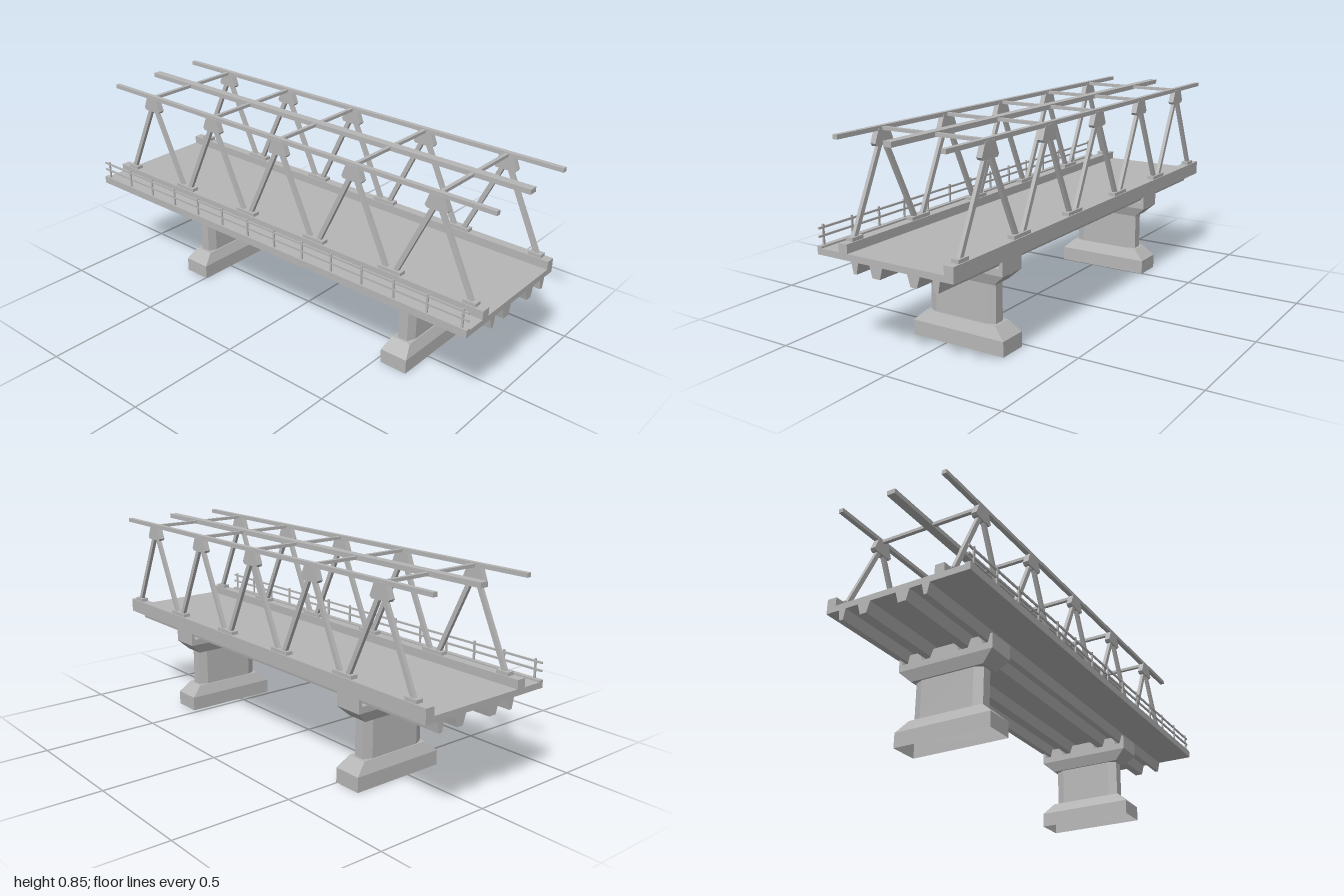
import * as THREE from 'three';

const concrete = new THREE.MeshStandardMaterial({ color: 0xb6b6b6, flatShading: true, side: THREE.DoubleSide });
const X0 = -0.997, X1 = 0.99;        // deck ends
const FRONT = 0.183, BACK = -0.288;  // truss planes
const MID = (FRONT + BACK) / 2;
const TRUSSES = [-0.754, -0.374, 0.002, 0.382, 0.762];
const PIERS = [-0.558, 0.585];
// girders: [centre z, half width at top, half width at bottom]
const GIRDERS = [[0.129, 0.017, 0.007], [0.031, 0.03, 0.017], [-0.137, 0.028, 0.014], [-0.235, 0.016, 0.008]];

function add(parent, name, geometry, x = 0, y = 0, z = 0) {
  const mesh = new THREE.Mesh(geometry, concrete);
  mesh.name = name;
  mesh.position.set(x, y, z);
  parent.add(mesh);
  return mesh;
}

function box(parent, name, x0, x1, y0, y1, z0, z1) {
  return add(parent, name, new THREE.BoxGeometry(x1 - x0, y1 - y0, z1 - z0),
    (x0 + x1) / 2, (y0 + y1) / 2, (z0 + z1) / 2);
}

// Extrude a [z, y] outline along x
function extrudeX(outline, x0, x1) {
  const shape = new THREE.Shape(outline.map(([z, y]) => new THREE.Vector2(-z, y)));
  const g = new THREE.ExtrudeGeometry(shape, { depth: x1 - x0, bevelEnabled: false });
  return g.rotateY(Math.PI / 2).translate(x0, 0, 0);
}

// Rectangle with chamfered corners, as [x, y, z] points
function ring(y, hx, hz, cx = 0, cz = 0) {
  const pts = cx
    ? [[hx, hz - cz], [hx, cz - hz], [hx - cx, -hz], [cx - hx, -hz], [-hx, cz - hz], [-hx, hz - cz], [cx - hx, hz], [hx - cx, hz]]
    : [[hx, hz], [hx, -hz], [-hx, -hz], [-hx, hz]];
  return pts.map(([x, z]) => [x, y, z]);
}

// Skin a stack of rings, optionally closing the ends
function loft(rings, capBottom, capTop) {
  const pos = [], n = rings[0].length;
  for (let r = 0; r + 1 < rings.length; r++) {
    for (let i = 0; i < n; i++) {
      const j = (i + 1) % n, a = rings[r][i], b = rings[r][j], c = rings[r + 1][j], d = rings[r + 1][i];
      pos.push(...a, ...b, ...c, ...a, ...c, ...d);
    }
  }
  const first = rings[0], last = rings[rings.length - 1];
  for (let i = 1; i + 1 < n; i++) {
    if (capBottom) pos.push(...first[0], ...first[i + 1], ...first[i]);
    if (capTop) pos.push(...last[0], ...last[i], ...last[i + 1]);
  }
  const g = new THREE.BufferGeometry();
  g.setAttribute('position', new THREE.Float32BufferAttribute(pos, 3));
  g.computeVertexNormals();
  return g;
}

function buildPier(x) {
  const pier = new THREE.Group();
  pier.name = 'pier';
  pier.position.x = x;
  // Footing, hollow from below
  add(pier, 'footing', loft([ring(0, 0.062, 0.212), ring(0.062, 0.062, 0.212), ring(0.107, 0.043, 0.163)], false, true), 0, 0, MID);
  add(pier, 'column', loft([ring(0.107, 0.038, 0.153, 0.016, 0.036), ring(0.268, 0.038, 0.153, 0.016, 0.036)]), 0, 0, MID);
  add(pier, 'capTaper', loft([ring(0.268, 0.045, 0.163), ring(0.313, 0.062, 0.212)], true, false), 0, 0, MID);
  // Cap with a notch beneath every girder
  const outline = [[0.16, 0.313], [0.16, 0.375]];
  for (const [z, top, bottom] of GIRDERS) {
    const t = top + 0.004, b = bottom + 0.004;
    outline.push([z + t, 0.375], [z + b, 0.34], [z - b, 0.34], [z - t, 0.375]);
  }
  outline.push([-0.264, 0.375], [-0.264, 0.313]);
  add(pier, 'notchedCap', extrudeX(outline, -0.062, 0.062));
  return pier;
}

function buildTruss(z) {
  const truss = new THREE.Group();
  truss.name = 'sideTruss';
  truss.position.z = z;
  box(truss, 'topChord', -1, 1, 0.83, 0.847, -0.01, 0.01);
  const plate = new THREE.Shape([[-0.042, 0.775], [0.042, 0.775], [0.05, 0.785], [0.029, 0.838], [-0.029, 0.838], [-0.05, 0.785]]
    .map(([x, y]) => new THREE.Vector2(x, y)));
  const gusset = new THREE.ExtrudeGeometry(plate, { depth: 0.024, bevelEnabled: false }).translate(0, 0, -0.012);
  for (const x of TRUSSES) {
    add(truss, 'gusset', gusset, x);
    for (const s of [-1, 1]) {
      // Sloping brace from the gusset down to its foot plate
      const dx = 0.164, dy = 0.345;
      const brace = add(truss, 'brace', new THREE.BoxGeometry(0.019, Math.hypot(dx, dy), 0.015),
        x + s * (0.007 + dx / 2), 0.455 + dy / 2, 0);
      brace.rotation.z = s * Math.atan2(dx, dy);
      box(truss, 'footPlate', x + s * 0.165 - 0.028, x + s * 0.165 + 0.028, 0.455, 0.469, -0.0155, 0.0155);
    }
  }
  return truss;
}

function buildRailing() {
  const railing = new THREE.Group();
  railing.name = 'walkwayRailing';
  for (let i = 0; i < 14; i++) {
    const x = -0.965 + i * 0.1485;
    box(railing, 'railPost', x - 0.004, x + 0.004, 0.425, 0.504, 0.296, 0.302);
  }
  for (const y of [0.462, 0.493]) box(railing, 'handRail', X0, X1, y - 0.004, y + 0.004, 0.295, 0.301);
  return railing;
}

export function createModel() {
  const bridge = new THREE.Group();
  bridge.name = 'bridge';

  // Deck slab with walkway edge and two truss kerbs
  add(bridge, 'deck', extrudeX([
    [0.308, 0.395], [0.308, 0.427], [0.287, 0.427], [0.287, 0.42], [0.203, 0.42], [0.203, 0.455],
    [0.163, 0.455], [0.163, 0.42], [-0.268, 0.42], [-0.268, 0.455], [-0.308, 0.455], [-0.308, 0.395],
  ], X0, X1));
  for (const [z, t, b] of GIRDERS) {
    add(bridge, 'girder', extrudeX([[z + t, 0.396], [z - t, 0.396], [z - b, 0.351], [z + b, 0.351]], X0, X1));
  }

  for (const x of PIERS) bridge.add(buildPier(x));
  for (const z of [FRONT, BACK]) bridge.add(buildTruss(z));

  // Overhead bracing
  box(bridge, 'centreBeam', -1, 1, 0.827, 0.847, MID - 0.018, MID + 0.018);
  for (const x of TRUSSES) box(bridge, 'crossBeam', x - 0.008, x + 0.008, 0.83, 0.843, BACK, FRONT);

  bridge.add(buildRailing());
  return bridge;
}
